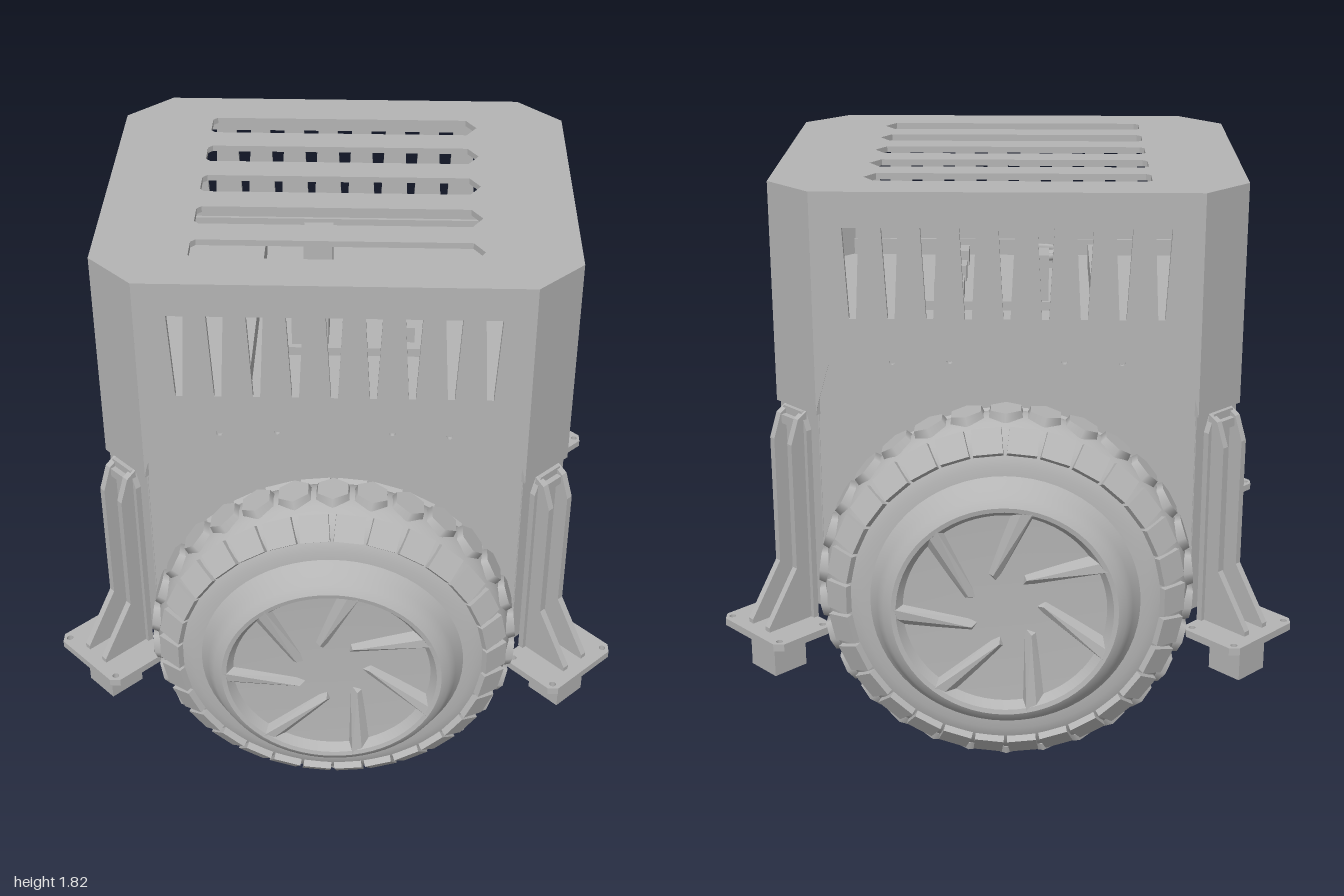
import * as THREE from 'three';
import { mergeGeometries, toCreasedNormals } from 'three/addons/utils/BufferGeometryUtils.js';
import { ConvexGeometry } from 'three/addons/geometries/ConvexGeometry.js';

const grey = new THREE.MeshStandardMaterial({ color: 0xb4b4b4 });
grey.name = 'plain grey';

function add(parent, name, geometry, x = 0, y = 0, z = 0, turn = 0) {
  const mesh = new THREE.Mesh(geometry, grey);
  mesh.name = name;
  mesh.position.set(x, y, z);
  mesh.rotation.y = turn;
  parent.add(mesh);
  return mesh;
}

const v2 = (list) => list.map(([x, y]) => new THREE.Vector2(x, y));
const mirrorX = (half) => [...half, ...half.map(([x, y]) => [-x, y]).reverse()];
const circle = (x, y, r) => new THREE.Path().absarc(x, y, r, 0, Math.PI * 2, true);
const slit = (x, y0, y1, w0, w1 = w0) => new THREE.Path(v2([[x - w0 / 2, y0], [x + w0 / 2, y0], [x + w1 / 2, y1], [x - w1 / 2, y1]]));

// Sheet panel whose outer face lies on local z = 0
function panel(outline, holes = [], depth = 0.02) {
  const shape = new THREE.Shape(v2(outline));
  shape.holes.push(...holes);
  return new THREE.ExtrudeGeometry(shape, { depth, bevelEnabled: false, curveSegments: 10 }).translate(0, 0, -depth);
}
const rect = (w, y0, y1) => [[-w, y0], [w, y0], [w, y1], [-w, y1]];
const octagon = (w, d, c) => mirrorX([[w - c, -d], [w, -d + c], [w, d - c], [w - c, d]]);

function buildCover() {
  const g = new THREE.Group();
  g.name = 'upperCover';
  // Front and back: scalloped lower edge with two tabs and nine tapered vents
  const edge = mirrorX([[0.29, 1.31], [0.31, 1.25], [0.39, 1.25], [0.41, 1.27], [0.42, 1.34], [0.52, 1.3], [0.56, 1.27], [0.6, 1.13], [0.605, 1.1], [0.605, 1.82]]);
  const vents = [];
  for (let i = -4; i <= 4; i++) vents.push(slit(i * 0.12, 1.42, 1.71, 0.022, 0.052));
  for (const s of [-1, 1]) vents.push(circle(s * 0.36, 1.28, 0.01));
  add(g, 'frontCover', panel(edge, vents), 0, 0, 0.63);
  add(g, 'backCover', panel(edge, vents), 0, 0, -0.63, Math.PI);

  // Sides: one with a grip recess, one with a small pair of openings
  const side = mirrorX([[0.41, 1.31], [0.44, 1.1], [0.485, 1.1], [0.485, 1.82]]);
  const grip = new THREE.Path();
  grip.absarc(0.195, 1.615, 0.055, -Math.PI / 2, Math.PI / 2, false);
  grip.absarc(-0.195, 1.615, 0.055, Math.PI / 2, Math.PI * 1.5, false);
  add(g, 'gripSide', panel(side, [grip]), 0.75, 0, 0, Math.PI / 2);
  add(g, 'gripBacking', new THREE.BoxGeometry(0.02, 0.16, 0.56), 0.732, 1.615, 0);
  add(g, 'socketSide', panel(side, [slit(-0.1, 1.56, 1.66, 0.01, 0.06), slit(0.16, 1.56, 1.66, 0.01, 0.06), circle(0.03, 1.6, 0.03)]), -0.75, 0, 0, -Math.PI / 2);

  // Corner skirts
  for (const sx of [-1, 1]) for (const sz of [-1, 1])
    add(g, 'cornerSkirt', panel(rect(0.1025, 1.1, 1.82)), sx * 0.6775, 0, sz * 0.5575, Math.atan2(sx, sz));

  // Lid with five long slots, pointed at one end
  const slots = [-0.42, -0.21, 0, 0.21, 0.42].map((y) => new THREE.Path(v2(
    [[-0.45, y - 0.04], [-0.435, y - 0.055], [0.42, y - 0.055], [0.455, y], [0.42, y + 0.055], [-0.435, y + 0.055], [-0.45, y + 0.04]])));
  add(g, 'lid', panel(octagon(0.75, 0.63, 0.145), slots).rotateX(-Math.PI / 2), 0, 1.822, 0);
  return g;
}

function buildBody() {
  const g = new THREE.Group();
  g.name = 'lowerBody';
  const front = rect(0.6, 0.42, 1.36);
  const bolts = [-0.18, 0.18].map((x) => circle(x, 1.28, 0.01));
  add(g, 'frontWall', panel(front, bolts), 0, 0, 0.618);
  add(g, 'backWall', panel(front, bolts), 0, 0, -0.618, Math.PI);
  const side = rect(0.475, 0.42, 1.36);
  add(g, 'slottedWall', panel(side, [
    slit(-0.12, 0.93, 1.23, 0.035), slit(0.06, 0.93, 1.23, 0.035),
    slit(-0.18, 0.47, 1.25, 0.012), slit(0.1, 0.97, 1.26, 0.008), slit(0.17, 0.97, 1.23, 0.006),
  ]), 0.738, 0, 0, Math.PI / 2);
  const comb = [];
  for (let i = 0; i < 14; i++) comb.push(slit(-0.35 + i * 0.058, 1.08 - 0.08 * Math.sin(i * 2.3), 1.27, 0.012, 0.026));
  add(g, 'combWall', panel(side, comb), -0.738, 0, 0, -Math.PI / 2);
  for (const sx of [-1, 1]) for (const sz of [-1, 1])
    add(g, 'cornerWall', panel(rect(0.1, 0.42, 1.3)), sx * 0.668, 0, sz * 0.548, Math.atan2(sx, sz));
  const plate = () => panel(octagon(0.738, 0.618, 0.14)).rotateX(-Math.PI / 2);
  add(g, 'floor', plate(), 0, 0.44, 0);
  add(g, 'deck', plate(), 0, 1.3, 0);
  return g;
}

// Circuit board, fan and modules under the lid
function buildElectronics() {
  const g = new THREE.Group();
  g.name = 'electronics';
  const box = (name, w, h, d, x, y, z) => add(g, name, new THREE.BoxGeometry(w, h, d), x, y, z);
  box('circuitBoard', 0.5, 0.03, 0.56, 0.03, 1.36, 0);
  box('rail', 0.05, 0.08, 0.9, -0.3, 1.34, 0);
  box('module', 0.12, 0.18, 0.12, -0.09, 1.46, 0.2);
  box('module', 0.1, 0.16, 0.1, -0.08, 1.45, -0.22);
  for (const z of [-0.2, 0, 0.2]) box('connector', 0.1, 0.06, 0.08, 0.2, 1.4, z);
  add(g, 'fanRing', new THREE.TorusGeometry(0.075, 0.012, 6, 20).rotateX(Math.PI / 2), -0.1, 1.47, 0);
  add(g, 'fanHub', new THREE.CylinderGeometry(0.025, 0.025, 0.1, 12), -0.1, 1.42, 0);
  for (let i = 0; i < 7; i++)
    add(g, 'fanBlade', new THREE.BoxGeometry(0.06, 0.008, 0.03).rotateX(0.5).translate(0.045, 0, 0), -0.1, 1.46, 0, i * Math.PI * 2 / 7);
  return g;
}

// Wheel with its axle along z, outer face towards +z
function buildWheel() {
  const g = new THREE.Group();
  g.name = 'wheel';
  const lathe = (pts, crease) => toCreasedNormals(new THREE.LatheGeometry(v2(pts), 64).rotateX(Math.PI / 2), crease);
  const profile = [];
  for (let i = 0; i <= 16; i++) {
    const t = (i / 16 - 0.5) * Math.PI;
    profile.push([0.42 + 0.155 * Math.cos(t), 0.14 * Math.sin(t)]);
  }
  add(g, 'tyre', lathe(profile, 0.6));

  // Tread: hexagonal centre blocks and staggered shoulder blocks
  const lugs = [];
  const count = 30, step = Math.PI * 2 / count;
  for (let i = 0; i < count; i++) {
    lugs.push(new THREE.CylinderGeometry(0.054, 0.062, 0.028, 6).translate(0, 0.576, 0).rotateZ(i * step));
    for (const s of [-1, 1]) {
      const t = s * 0.88;
      lugs.push(new THREE.BoxGeometry(0.092, 0.026, 0.085).rotateX(t)
        .translate(0, 0.42 + 0.155 * Math.cos(t), 0.14 * Math.sin(t)).rotateZ((i + 0.5) * step));
    }
  }
  add(g, 'tread', mergeGeometries(lugs));

  // Hub with raised rim and swirling blades
  add(g, 'hub', lathe([[0, -0.12], [0.4, -0.12], [0.44, -0.1], [0.44, 0.12], [0.41, 0.15], [0.395, 0.18], [0.375, 0.21],
    [0.35, 0.225], [0.335, 0.222], [0.315, 0.195], [0.12, 0.185], [0, 0.19]], 0.5));
  const polar = (r, a, z) => new THREE.Vector3(r * Math.cos(a), r * Math.sin(a), z);
  const blade = new ConvexGeometry([polar(0.09, 0.6, 0.18), polar(0.13, 0.75, 0.18), polar(0.12, 0.62, 0.2),
    polar(0.36, 0.0, 0.18), polar(0.35, 0.28, 0.18), polar(0.345, 0.06, 0.224), polar(0.34, 0.16, 0.22)]);
  for (let i = 0; i < 7; i++) add(g, 'hubBlade', blade, 0, 0, 0).rotation.z = 0.36 + i * Math.PI * 2 / 7;
  add(g, 'axle', new THREE.CylinderGeometry(0.08, 0.08, 0.1, 24).rotateX(Math.PI / 2), 0, 0, -0.13);
  return g;
}

// Corner leg: local z points outwards, z = 0 on the corner wall
function buildLeg() {
  const g = new THREE.Group();
  g.name = 'cornerLeg';
  add(g, 'backPlate', panel([[-0.07, 0.38], [0.07, 0.38], [0.07, 1.04], [0.045, 1.1], [-0.045, 1.1], [-0.07, 1.04]]), 0, 0, 0.014);
  for (const s of [-1, 1]) {
    const rib = panel([[0, 0.375], [0.185, 0.375], [0.185, 0.395], [0.065, 0.57], [0.065, 1.0], [0.035, 1.08], [0, 1.1]], [], 0.022);
    add(g, 'rib', rib.rotateY(-Math.PI / 2), s * 0.045 - 0.011, 0, 0);
  }
  add(g, 'topCap', new THREE.BoxGeometry(0.09, 0.03, 0.035), 0, 1.06, 0.015);
  const foot = mirrorX([[0.13, -0.115], [0.155, -0.09], [0.155, 0.09], [0.13, 0.115]]);
  const holes = [];
  for (const sx of [-1, 1]) for (const sy of [-1, 1]) holes.push(circle(sx * 0.128, sy * 0.088, 0.011));
  add(g, 'footPlate', panel(foot, holes, 0.025).rotateX(-Math.PI / 2), 0, 0.38, 0.112);
  add(g, 'footBlock', new THREE.BoxGeometry(0.127, 0.14, 0.127), 0, 0.29, 0.112);
  return g;
}

export function createModel() {
  const model = new THREE.Group();
  model.name = 'wheeledRobotBase';
  model.add(buildBody(), buildCover(), buildElectronics());
  for (const s of [-1, 1]) {
    const wheel = buildWheel();
    wheel.position.set(0, 0.592, s * 0.775);
    wheel.rotation.y = s > 0 ? 0 : Math.PI;
    model.add(wheel);
    for (const sx of [-1, 1]) {
      const leg = buildLeg();
      leg.position.set(sx * 0.68, 0, s * 0.555);
      leg.rotation.y = Math.atan2(sx, s);
      model.add(leg);
    }
  }
  return model;
}
